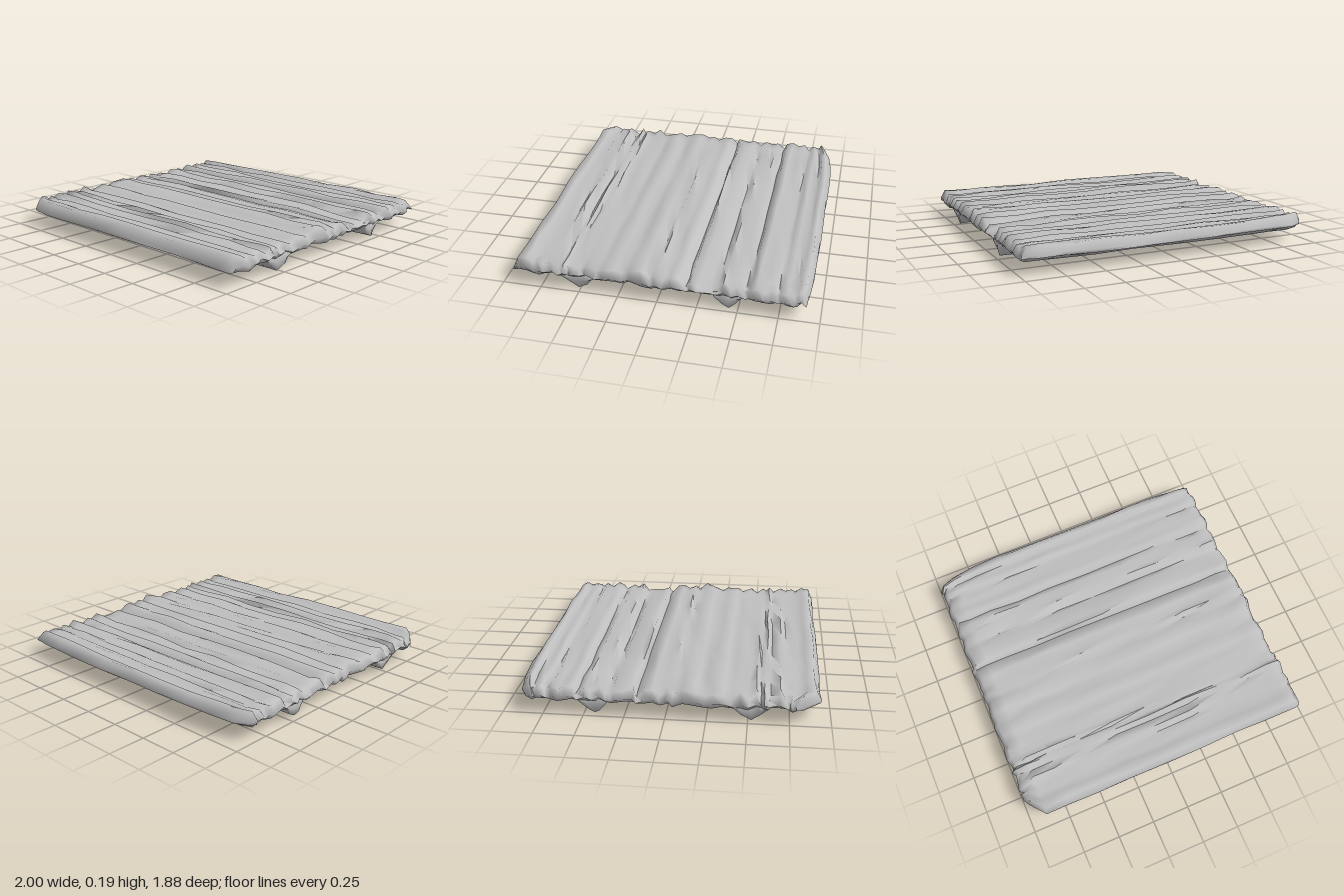
import * as THREE from 'three';
import { toCreasedNormals } from 'three/addons/utils/BufferGeometryUtils.js';

// Seeded random numbers in 0..1
function makeRandom(seed) {
  return () => {
    seed = (seed * 16807) % 2147483647;
    return seed / 2147483647;
  };
}

// Ridged deck section: z, top height, underside height
const DECK = [
  [-0.935, 0.13, 0.10], [-0.90, 0.178, 0.09], [-0.865, 0.182, 0.068], [-0.84, 0.154, 0.075],
  [-0.80, 0.172, 0.08], [-0.76, 0.168, 0.085], [-0.735, 0.148, 0.08], [-0.70, 0.178, 0.07],
  [-0.66, 0.158, 0.075], [-0.61, 0.184, 0.08], [-0.57, 0.172, 0.085], [-0.545, 0.138, 0.08],
  [-0.49, 0.18, 0.08], [-0.455, 0.154, 0.08], [-0.41, 0.187, 0.08], [-0.365, 0.143, 0.08],
  [-0.32, 0.172, 0.075], [-0.25, 0.162, 0.085], [-0.20, 0.173, 0.08], [-0.175, 0.136, 0.085],
  [-0.13, 0.172, 0.075], [-0.08, 0.183, 0.085], [-0.03, 0.154, 0.072], [0.015, 0.186, 0.08],
  [0.045, 0.16, 0.07], [0.10, 0.197, 0.08], [0.18, 0.183, 0.085], [0.235, 0.162, 0.068],
  [0.28, 0.178, 0.075], [0.35, 0.17, 0.082], [0.40, 0.15, 0.07], [0.46, 0.184, 0.08],
  [0.505, 0.152, 0.08], [0.545, 0.18, 0.08], [0.575, 0.156, 0.085], [0.60, 0.182, 0.085],
  [0.63, 0.145, 0.09], [0.685, 0.188, 0.085], [0.725, 0.156, 0.09], [0.77, 0.176, 0.062],
  [0.805, 0.158, 0.07], [0.85, 0.185, 0.085], [0.905, 0.182, 0.085], [0.935, 0.125, 0.095],
];

// Bearer section, with the same columns
const FRONT_BEARER = [
  [0.41, 0.12, 0.09], [0.46, 0.13, 0.04], [0.52, 0.13, 0.003], [0.57, 0.13, 0.04], [0.63, 0.12, 0.09],
];
const BACK_BEARER = [
  [-0.53, 0.12, 0.09], [-0.48, 0.13, 0.03], [-0.44, 0.13, 0.005], [-0.40, 0.13, 0.025], [-0.35, 0.12, 0.085],
];

// Shallow bowl in the surface around a point
const bowl = (x, z, cx, cz, rx, rz) => Math.exp(-(((x - cx) / rx) ** 2) - (((z - cz) / rz) ** 2));
const deckDip = (x, z) => 0.025 * bowl(x, z, -0.4, 0.17, 0.3, 0.05) + 0.035 * bowl(x, z, 0.9, -0.28, 0.2, 0.08);

// Draws in the deck corners: a long sweep at the back left, small cuts elsewhere
function deckCorner(x, z) {
  const backEdge = Math.max(0, (-z - 0.78) / 0.155);
  const frontEdge = Math.max(0, (z - 0.74) / 0.195);
  const sweep = Math.max(0, (-x - 0.6) / 0.4);
  const cutLeft = Math.max(0, (-x - 0.9) / 0.1);
  const cutRight = Math.max(0, (x - 0.8) / 0.2);
  return backEdge * (0.045 * sweep + 0.06 * cutLeft ** 2 + 0.03 * cutRight) - frontEdge * 0.15 * cutLeft;
}

// One closed ring in x and y per z station (z rising), skinned and capped
function ridgedSlab(stations, { left, right, bevel, wander, rough, seed, dip, corner }) {
  const random = makeRandom(seed);
  const steps = 11;
  const positions = [];
  const index = [];
  const ringSize = steps * 2 + 2;

  stations.forEach(([z, top, bottom]) => {
    const endLeft = left + random() * 0.022;
    const endRight = right - random() * 0.022;
    const put = (x, y) => positions.push(x, y, z + (random() - 0.5) * wander + corner(x, z));
    // Closer steps near both ends
    const along = (i) => {
      const t = i / (steps - 1);
      const eased = THREE.MathUtils.lerp(t, THREE.MathUtils.smoothstep(t, 0, 1), 0.8);
      return THREE.MathUtils.lerp(endLeft + bevel, endRight - bevel, eased);
    };

    for (let i = 0; i < steps; i++) put(along(i), top - random() * rough - dip(along(i), z));
    const middle = (top + bottom) / 2 - 0.01;
    put(endRight, middle);
    for (let i = steps - 1; i >= 0; i--) put(along(i), bottom + random() * rough * 0.7);
    put(endLeft, middle);
  });

  for (let s = 0; s < stations.length - 1; s++) {
    for (let j = 0; j < ringSize; j++) {
      const a = s * ringSize + j;
      const b = s * ringSize + ((j + 1) % ringSize);
      index.push(a, a + ringSize, b, b, a + ringSize, b + ringSize);
    }
  }

  // Back and front caps, as strips between the top and the underside
  const last = (stations.length - 1) * ringSize;
  const cap = (a, b, c) => index.push(a, b, c, last + a, last + c, last + b);
  for (let j = 0; j < steps - 1; j++) {
    const below = ringSize - 2 - j;
    cap(j, j + 1, below - 1);
    cap(j, below - 1, below);
  }
  cap(steps - 1, steps, steps + 1);
  cap(0, ringSize - 2, ringSize - 1);

  const geometry = new THREE.BufferGeometry();
  geometry.setAttribute('position', new THREE.Float32BufferAttribute(positions, 3));
  geometry.setIndex(index);
  return toCreasedNormals(geometry, 1.5);
}

export function createModel() {
  const group = new THREE.Group();
  const weatheredGrey = new THREE.MeshStandardMaterial({ color: 0xbfbfbf });
  weatheredGrey.name = 'weatheredGrey';

  const add = (name, geometry) => {
    const mesh = new THREE.Mesh(geometry, weatheredGrey);
    mesh.name = name;
    group.add(mesh);
  };

  // Deck of uneven poles lying side by side
  add('poleDeck', ridgedSlab(DECK, {
    left: -1, right: 1, bevel: 0.03, wander: 0.014, rough: 0.016, seed: 71, dip: deckDip, corner: deckCorner,
  }));

  // Two bearers under the deck, running the same way
  const bearer = {
    left: -0.98, right: 0.985, bevel: 0.01, wander: 0.01, rough: 0.008, dip: () => 0, corner: () => 0,
  };
  add('frontBearer', ridgedSlab(FRONT_BEARER, { ...bearer, seed: 19 }));
  add('backBearer', ridgedSlab(BACK_BEARER, { ...bearer, seed: 43 }));

  return group;
}
